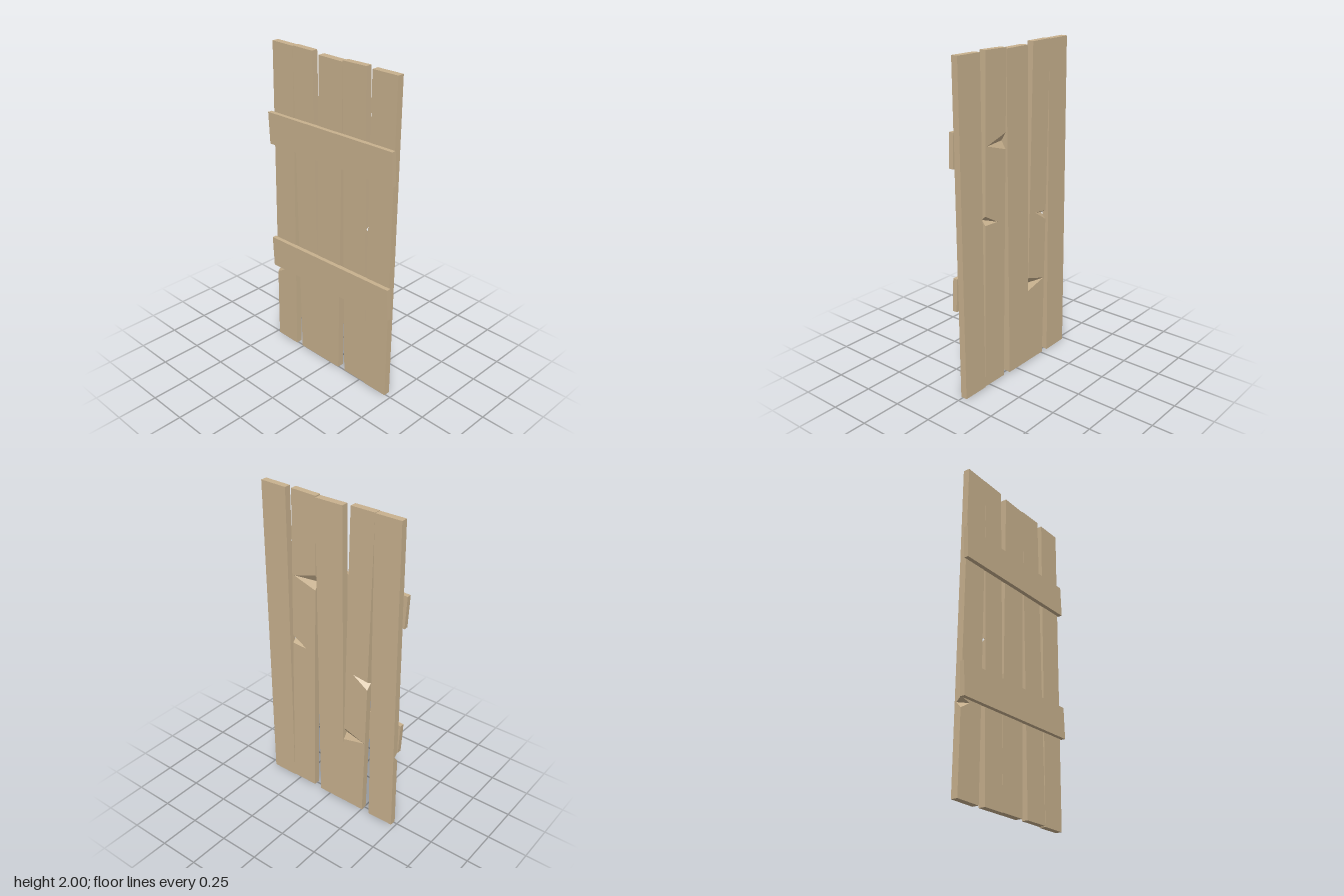
import * as THREE from 'three';

const wood = new THREE.MeshStandardMaterial({ color: 0xc8b18e });
wood.name = 'tan wood';

// Collects flat polygons, each turned to face its outward direction
function addFace(out, points, outward) {
  const flat = points.map((p) =>
    Math.abs(outward.x) > 0.5 ? new THREE.Vector2(p.z, p.y)
      : Math.abs(outward.z) > 0.5 ? new THREE.Vector2(p.x, p.y)
        : new THREE.Vector2(p.x, p.z));
  for (const [i, j, k] of THREE.ShapeUtils.triangulateShape(flat, [])) {
    const tri = new THREE.Triangle(points[i], points[j], points[k]);
    const n = tri.getNormal(new THREE.Vector3());
    const order = n.dot(outward) < 0 ? [i, k, j] : [i, j, k];
    for (const q of order) out.push(...points[q].toArray());
  }
}

const V = (x, y, z) => new THREE.Vector3(x, y, z);

// A board standing in the zy plane.
// corners: [z, y] of bottom left, bottom right, top right, top left (left is +z)
// chips: wedges split out of a long edge, listed from the bottom upward
function board(name, corners, back, front, chips = []) {
  const [bl, br, tr, tl] = corners;
  const out = [];
  const edgeZ = (side, y) => {
    const [a, b] = side === 'left' ? [bl, tl] : [br, tr];
    return THREE.MathUtils.lerp(a[0], b[0], (y - a[1]) / (b[1] - a[1]));
  };
  const cuts = chips.map((c) => {
    const x = c.face === 'back' ? back : front;
    const dir = c.face === 'back' ? 1 : -1;
    return {
      ...c,
      low: V(x, c.y0, edgeZ(c.side, c.y0)),
      high: V(x, c.y1, edgeZ(c.side, c.y1)),
      tip: V(x, c.tip[1], c.tip[0]),
      deep: V(x + dir * c.depth, c.yDeep, edgeZ(c.side, c.yDeep)),
    };
  });
  const pick = (side, face) => cuts.filter((c) => c.side === side && c.face === face);
  const at = (x, [z, y]) => V(x, y, z);

  // Broad faces
  for (const [face, x, dir] of [['front', front, 1], ['back', back, -1]]) {
    addFace(out, [
      at(x, bl), at(x, br),
      ...pick('right', face).flatMap((c) => [c.low, c.tip, c.high]),
      at(x, tr), at(x, tl),
      ...pick('left', face).reverse().flatMap((c) => [c.high, c.tip, c.low]),
    ], V(dir, 0, 0));
  }
  // Long edges
  for (const [side, b, t, dir] of [['left', bl, tl, 1], ['right', br, tr, -1]]) {
    addFace(out, [
      at(front, b),
      ...pick(side, 'front').flatMap((c) => [c.low, c.deep, c.high]),
      at(front, t), at(back, t),
      ...pick(side, 'back').reverse().flatMap((c) => [c.high, c.deep, c.low]),
      at(back, b),
    ], V(0, 0, dir));
  }
  // Ends
  addFace(out, [at(front, tl), at(front, tr), at(back, tr), at(back, tl)], V(0, 1, 0));
  addFace(out, [at(front, bl), at(front, br), at(back, br), at(back, bl)], V(0, -1, 0));
  // Inner faces of the chips
  for (const c of cuts) {
    addFace(out, [c.low, c.tip, c.deep], V(0, 1, 0));
    addFace(out, [c.high, c.tip, c.deep], V(0, -1, 0));
  }

  const geometry = new THREE.BufferGeometry();
  geometry.setAttribute('position', new THREE.Float32BufferAttribute(out, 3));
  geometry.computeVertexNormals();
  const mesh = new THREE.Mesh(geometry, wood);
  mesh.name = name;
  return mesh;
}

export function createModel() {
  const group = new THREE.Group();
  group.name = 'plankDoor';

  // Five uneven upright planks
  group.add(
    board('plank1', [[0.464, 0.003], [0.297, 0.003], [0.305, 1.995], [0.477, 1.998]], -0.01, 0.031),
    board('plank2', [[0.297, 0.008], [0.126, 0.008], [0.094, 1.995], [0.262, 2]], -0.009, 0.031, [
      { side: 'left', face: 'front', y0: 1.03, y1: 1.085, yDeep: 1.06, tip: [0.175, 1.025], depth: 0.03 },
      { side: 'right', face: 'front', y0: 1.435, y1: 1.53, yDeep: 1.48, tip: [0.258, 1.483], depth: 0.03 },
    ]),
    board('plank3', [[0.073, 0.005], [-0.111, 0.005], [-0.086, 1.988], [0.096, 1.988]], -0.01, 0.034),
    board('plank4', [[-0.098, 0.004], [-0.255, 0.004], [-0.292, 2], [-0.138, 2]], -0.009, 0.032, [
      { side: 'left', face: 'front', y0: 0.49, y1: 0.575, yDeep: 0.53, tip: [-0.258, 0.527], depth: 0.03 },
      { side: 'right', face: 'front', y0: 0.915, y1: 0.97, yDeep: 0.95, tip: [-0.17, 0.983], depth: 0.036 },
    ]),
    board('plank5', [[-0.307, 0], [-0.477, 0.003], [-0.455, 1.997], [-0.289, 1.997]], -0.01, 0.031, [
      { side: 'right', face: 'back', y0: 0.48, y1: 0.545, yDeep: 0.515, tip: [-0.4, 0.525], depth: 0.03 },
    ]),
  );

  // Two slightly tilted battens across the rear
  for (const [name, y] of [['lowerBatten', 0], ['upperBatten', 0.835]]) {
    group.add(board(name, [
      [0.487, 0.565 + y], [-0.475, 0.54 + y], [-0.485, 0.737 + y], [0.478, 0.763 + y],
    ], -0.036, -0.008));
  }
  return group;
}
